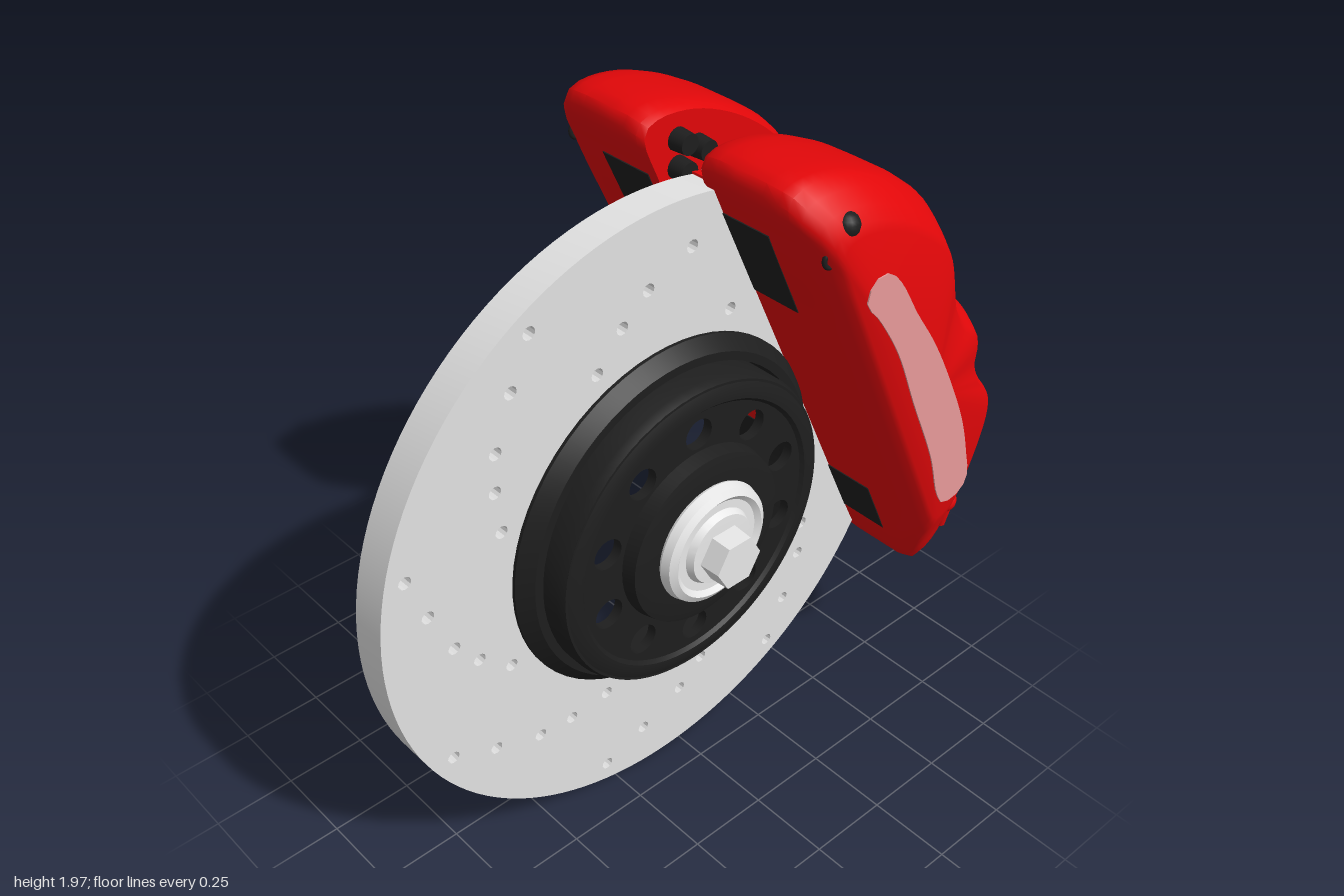
import * as THREE from 'three';
import { toCreasedNormals } from 'three/addons/utils/BufferGeometryUtils.js';

const mat = (name, color, side = THREE.FrontSide) => {
  const m = new THREE.MeshStandardMaterial({ color, side });
  m.name = name;
  return m;
};
const silver = mat('brushed silver', 0xe2e2e2);
const steel = mat('bright steel', 0xe8e8e8);
const black = mat('matt black', 0x1e1e1e, THREE.DoubleSide);
const red = mat('caliper red', 0xe20709);
const pink = mat('pale pink', 0xf0a0a0);

const CX = -0.065, CY = 0.943; // axle position
const V = (x, y) => new THREE.Vector2(x, y);

function add(group, name, geo, material, x = 0, y = 0, z = 0) {
  const mesh = new THREE.Mesh(geo, material);
  mesh.name = name;
  mesh.position.set(x, y, z);
  group.add(mesh);
  return mesh;
}
function circle(r, cx = 0, cy = 0, n = 96) {
  return Array.from({ length: n }, (_, i) => {
    const a = (i / n) * Math.PI * 2;
    return V(cx + r * Math.cos(a), cy + r * Math.sin(a));
  });
}
// flat slab from an outline with holes, spanning z0 to z1
function slab(outline, z0, z1, holes = []) {
  const shape = new THREE.Shape(outline);
  holes.forEach(h => shape.holes.push(new THREE.Path(h)));
  const g = new THREE.ExtrudeGeometry(shape, { depth: z1 - z0, bevelEnabled: false });
  return toCreasedNormals(g.translate(0, 0, z0), 0.5);
}
// turned profile of [radius, z] pairs around the z axis
function turned(profile, n = 64) {
  const g = new THREE.LatheGeometry(profile.map(p => V(...p)), n);
  return toCreasedNormals(g.rotateX(Math.PI / 2), 0.5);
}
// cylinder along z
const pin = (r0, r1, len, n = 16) => new THREE.CylinderGeometry(r1, r0, len, n).rotateX(Math.PI / 2);
// smooth closed outline
function smooth(points, n) {
  const c = new THREE.CatmullRomCurve3(points.map(p => new THREE.Vector3(p[0], p[1], 0)), true, 'centripetal');
  return c.getSpacedPoints(n).slice(0, n).map(p => V(p.x, p.y));
}

// stacks copies of a counter-clockwise outline into a closed solid,
// each scaled separately towards its top, bottom, outer and inner side
function loft(outline, rings, center, axis) {
  const n = outline.length, pos = [], idx = [];
  const side = V(-axis.y, axis.x);
  rings.forEach(([z, top, bottom, outer, inner]) => outline.forEach(p => {
    const d = p.clone().sub(center);
    let u = d.dot(axis), v = d.dot(side);
    u *= u > 0 ? bottom : top;
    v *= v > 0 ? outer : inner;
    pos.push(center.x + axis.x * u + side.x * v, center.y + axis.y * u + side.y * v, z);
  }));
  for (let k = 0; k < rings.length - 1; k++) for (let i = 0; i < n; i++) {
    const j = (i + 1) % n, a = k * n + i, b = k * n + j;
    idx.push(a, b, b + n, a, b + n, a + n);
  }
  const last = (rings.length - 1) * n, c0 = rings.length * n;
  pos.push(center.x, center.y, rings[0][0], center.x, center.y, rings[rings.length - 1][0]);
  for (let i = 0; i < n; i++) {
    const j = (i + 1) % n;
    idx.push(c0, j, i, c0 + 1, last + i, last + j);
  }
  const g = new THREE.BufferGeometry();
  g.setAttribute('position', new THREE.Float32BufferAttribute(pos, 3));
  g.setIndex(idx);
  return toCreasedNormals(g, 0.75);
}

function makeRotor() {
  const g = new THREE.Group();
  g.name = 'brakeRotor';
  g.position.set(CX, CY, 0);
  // friction disc with eight curved arms of drilled holes
  const drilled = [];
  const radii = [0.88, 0.8, 0.73, 0.67, 0.6], sweep = [0, 9, 20, 28, 38];
  for (let arm = 0; arm < 8; arm++) radii.forEach((r, i) => {
    const a = (30 + arm * 45 + sweep[i]) * Math.PI / 180;
    drilled.push(circle(0.019, r * Math.cos(a), r * Math.sin(a), 12));
  });
  add(g, 'frictionDisc', slab(circle(0.94, 0, 0, 128), 0.045, 0.15, [circle(0.487), ...drilled]), silver);
  // collar and bell
  add(g, 'bellCollar', turned([[0.474, 0.05], [0.488, 0.05], [0.488, 0.152], [0.537, 0.152], [0.537, 0.162],
    [0.5, 0.2], [0.474, 0.2], [0.474, 0.05]]), black);
  add(g, 'bellWall', turned([[0.45, 0.25], [0.45, 0.15], [0.472, 0.15], [0.472, 0.25], [0.462, 0.275]]), black, 0, -0.008);
  const lugs = Array.from({ length: 10 }, (_, i) => {
    const a = Math.PI / 2 + i * Math.PI / 5;
    return circle(0.046, 0.332 * Math.cos(a), 0.332 * Math.sin(a), 24);
  });
  add(g, 'bellFace', slab(circle(0.462), 0.245, 0.275, [circle(0.12), ...lugs]), black, 0, -0.008);
  add(g, 'bellRim', turned([[0.4, 0.275], [0.41, 0.285], [0.43, 0.285], [0.455, 0.275]]), black, 0, -0.008);
  add(g, 'bellBoss', turned([[0.27, 0.27], [0.26, 0.315], [0.23, 0.322], [0.15, 0.322]]), black);
  // hub and axle nut
  add(g, 'hub', turned([[0, 0.165], [0.09, 0.165], [0.13, 0.175], [0.155, 0.2], [0.165, 0.24], [0.17, 0.3], [0.182, 0.33],
    [0.175, 0.355], [0.155, 0.367], [0.14, 0.355], [0.115, 0.355], [0.105, 0.375], [0, 0.38]]), steel);
  const nut = pin(0.082, 0.078, 0.07, 6);
  add(g, 'axleNut', toCreasedNormals(nut.rotateZ(Math.PI / 6), 0.5), steel, 0, -0.01, 0.405);
  return g;
}

// caliper outline, clockwise from the upper inner corner
const OUTLINE = [[0.07, 1.93], [0.085, 1.96], [0.14, 1.975], [0.26, 1.963], [0.4, 1.915], [0.53, 1.84], [0.61, 1.77], [0.655, 1.69],
  [0.675, 1.6], [0.7, 1.5], [0.75, 1.425], [0.825, 1.37], [0.845, 1.33], [0.847, 1.22], [0.88, 1.14], [0.95, 1.04], [0.99, 0.96],
  [1.0, 0.87], [0.98, 0.74], [0.925, 0.56], [0.88, 0.465], [0.83, 0.425], [0.78, 0.418], [0.74, 0.48], [0.66, 0.65],
  [0.56, 0.863], [0.47, 1.055], [0.355, 1.3], [0.237, 1.55], [0.12, 1.8]];
const BADGE = [[0.275, 1.63], [0.3, 1.685], [0.35, 1.69], [0.4, 1.645], [0.48, 1.52], [0.57, 1.39], [0.66, 1.23], [0.745, 1.05],
  [0.785, 0.92], [0.805, 0.82], [0.775, 0.78], [0.705, 0.775], [0.672, 0.82], [0.62, 0.98], [0.51, 1.22], [0.42, 1.42], [0.33, 1.56]];
// [z, top, bottom, outer, inner]
const RINGS = [[0.105, 0.975, 0.97, 0.89, 0.96], [0.125, 0.99, 0.99, 0.95, 1], [0.17, 1, 1, 0.99, 1], [0.23, 1, 1, 1, 1],
  [0.33, 1, 1, 1, 1], [0.38, 0.995, 0.96, 0.975, 1], [0.41, 0.985, 0.9, 0.94, 0.985], [0.44, 0.95, 0.81, 0.89, 0.95],
  [0.475, 0.9, 0.71, 0.82, 0.88], [0.5, 0.85, 0.64, 0.76, 0.81], [0.511, 0.81, 0.6, 0.7, 0.74]];
const PISTON_PLATE = [[0.81, 0.99], [0.865, 0.99], [0.905, 0.95], [0.92, 0.83], [0.9, 0.74], [0.84, 0.72], [0.81, 0.8]];

// s = 1 builds the front half, s = -1 the rear half
function makeCaliper(s) {
  const g = new THREE.Group();
  g.name = s > 0 ? 'frontCaliper' : 'rearCaliper';
  const slabAt = (pts, a, b) => slab(pts, Math.min(s * a, s * b), Math.max(s * a, s * b));
  const rings = RINGS.map(([z, ...scales]) => [z * s, ...scales]);
  if (s < 0) rings.reverse();
  const body = loft(smooth(OUTLINE, 110).reverse(), rings, V(0.6, 1.2), V(0.42, -0.907).normalize());
  add(g, 'caliperBody', body, red);
  add(g, 'badgePlate', slabAt(smooth(BADGE, 60), 0.508, 0.515), s > 0 ? pink : silver);
  add(g, 'pistonPlate', slabAt(PISTON_PLATE.map(p => V(...p)), 0.099, 0.106), black);

  // dark pads on the hub-facing side
  [[1.66, 0.3], [0.66, 0.22]].forEach(([y, len]) => {
    const x = 0.12 + 0.4696 * (1.8 - y);
    add(g, 'sidePad', new THREE.BoxGeometry(0.008, len, 0.18), black, x + 0.001, y, s * 0.22).rotation.z = 0.439;
  });

  // upper bleed valve with its cap strap
  const valve = add(g, 'bleedValve', pin(0.045, 0.028, 0.09), black, 0.21, 1.83, s * 0.455);
  valve.rotation.x = s > 0 ? 0 : Math.PI;
  add(g, 'bleedCap', new THREE.SphereGeometry(0.036, 16, 10), black, 0.215, 1.86, s * 0.475);
  add(g, 'capStrap', new THREE.TorusGeometry(0.024, 0.007, 8, 20), black, 0.17, 1.785, s * 0.475);
  // lower bleed valve
  add(g, 'lowerValve', new THREE.CylinderGeometry(0.035, 0.014, 0.11, 14), red, 0.815, 0.645, s * 0.437);
  add(g, 'lowerValveCollar', new THREE.SphereGeometry(0.038, 14, 10), red, 0.815, 0.685, s * 0.44);
  // small body screws
  [[0.635, 1.565, 0.43], [0.885, 1.04, 0.43]].forEach(([x, y, z]) =>
    add(g, 'bodyScrew', new THREE.SphereGeometry(0.025, 12, 8), black, x, y, s * z));
  return g;
}

export function createModel() {
  const model = new THREE.Group();
  model.name = 'brakeAssembly';
  const front = makeCaliper(1), rear = makeCaliper(-1);
  model.add(makeRotor(), front, rear);

  // bridge of the front half over the disc rim
  const arc = (r, a0, a1) => Array.from({ length: 33 }, (_, i) => {
    const a = (a0 + (a1 - a0) * i / 32) * Math.PI / 180;
    return V(CX + r * Math.cos(a), CY + r * Math.sin(a));
  });
  add(front, 'caliperBridge', slab([...arc(0.946, -25, 79), ...arc(0.925, 79, -25)], 0.042, 0.13), red);
  // bridge bolts
  [[0.2, 1.83], [0.81, 0.68]].forEach(([x, y]) => {
    add(front, 'bridgeBolt', pin(0.032, 0.032, 0.07, 6), steel, x, y, 0.05);
    add(front, 'bridgeBoltTip', pin(0.02, 0.02, 0.03), steel, x, y, 0.025);
  });
  // hose fittings on the inner side of the rear half
  [[0.2, 1.8], [0.2, 1.88], [0.27, 1.84]].forEach(([x, y]) =>
    add(rear, 'hoseFitting', pin(0.034, 0.03, 0.06), black, x, y, -0.085));
  add(rear, 'sensorBase', pin(0.035, 0.028, 0.03), black, 0.805, 1.23, -0.095);
  add(rear, 'sensorPin', pin(0.02, 0.012, 0.06), black, 0.805, 1.23, -0.065);
  // hose bolt on the hub-facing side
  const bolt = add(rear, 'hoseBolt', new THREE.CylinderGeometry(0.045, 0.045, 0.1, 6), steel, 0.455, 1.04, -0.2);
  bolt.rotation.z = Math.PI / 2 + 0.439;
  return model;
}
